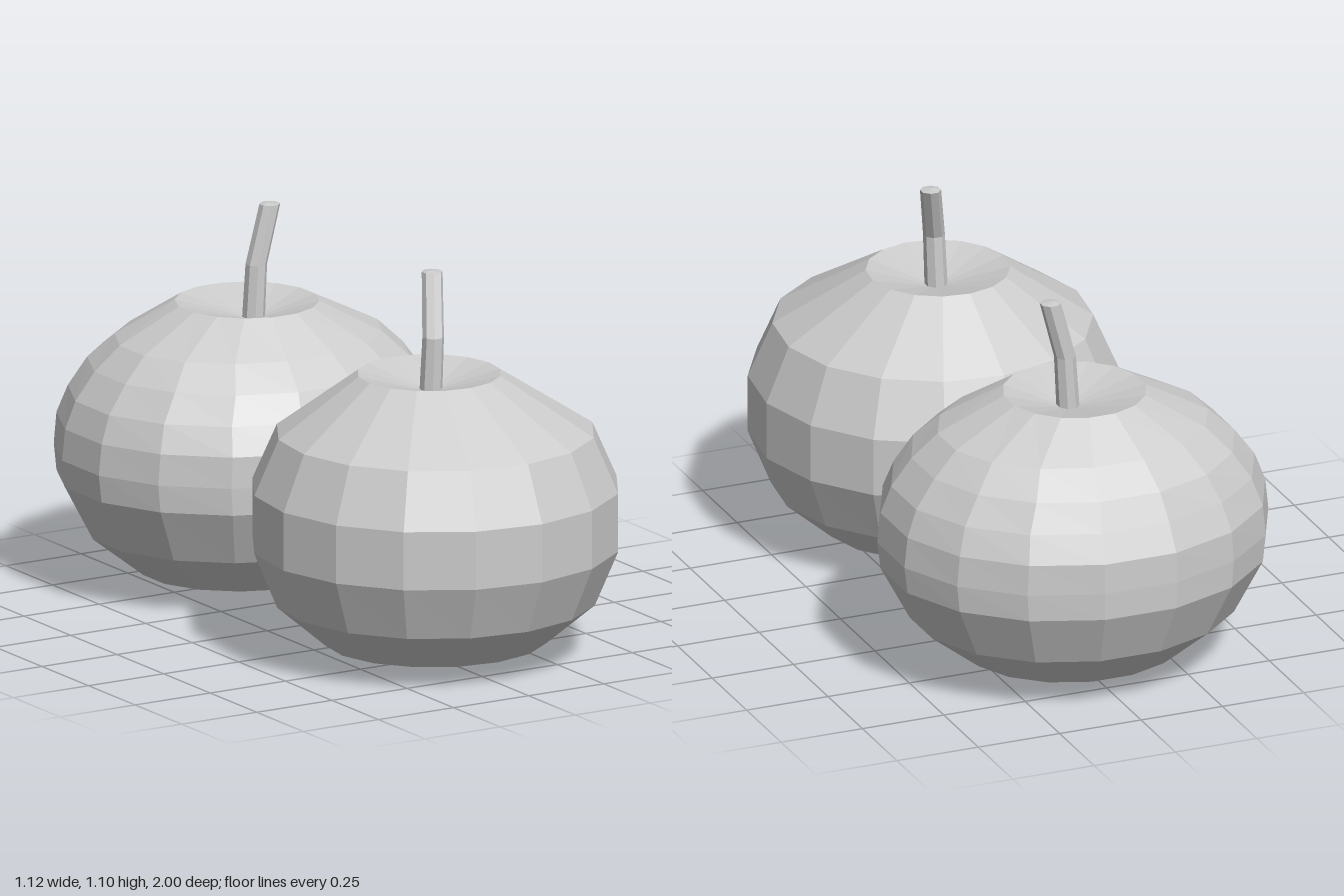
import * as THREE from 'three';

const material = new THREE.MeshStandardMaterial({ color: 0xcccccc, flatShading: true, side: THREE.DoubleSide });

// Skin over horizontal rings listed from top to bottom: [x, y, z, radiusX, radiusZ]
function loft(name, rings, sides, phase = 0) {
  const pos = [], index = [];
  for (const [x, y, z, rx, rz] of rings) {
    for (let j = 0; j < sides; j++) {
      const a = ((j + phase) / sides) * Math.PI * 2;
      pos.push(x + rx * Math.cos(a), y, z + rz * Math.sin(a));
    }
  }
  for (let i = 0; i < rings.length - 1; i++) {
    for (let j = 0; j < sides; j++) {
      const k = (j + 1) % sides;
      const a = i * sides + j, b = i * sides + k;
      const c = a + sides, d = b + sides;
      if (rings[i][3] > 0) index.push(a, b, c); // skip collapsed triangles at the tips
      if (rings[i + 1][3] > 0) index.push(b, d, c);
    }
  }
  let geometry = new THREE.BufferGeometry();
  geometry.setAttribute('position', new THREE.Float32BufferAttribute(pos, 3));
  geometry.setIndex(index);
  geometry = geometry.toNonIndexed();
  geometry.computeVertexNormals();
  const mesh = new THREE.Mesh(geometry, material);
  mesh.name = name;
  return mesh;
}

// Body with a sunken top, plus a bent stem
function pumpkin({ name, x, z, rim, bottom, profile, stem, phase }) {
  const group = new THREE.Group();
  group.name = name;
  const body = [
    [stem[0][0], 0.77, stem[0][2], 0, 0],           // dimple under the stem
    [rim[0], 0.825, rim[1], 0.205, 0.205],          // top rim
    ...profile.map(([y, rx, rz]) => [x, y, z, rx, rz]),
    [bottom[0], 0.005, bottom[1], 0, 0],
  ];
  group.add(loft('body', body, 16, phase));

  const radii = [0.033, 0.031, 0.03];
  const rings = stem.map(([sx, sy, sz], i) => [sx, sy, sz, radii[i], radii[i]]).reverse();
  const tip = rings[0];
  rings.unshift([tip[0] - 0.01, tip[1] + 0.005, tip[2], 0, 0]); // closed cut end
  group.add(loft('stem', rings, 8, 0.5));
  return group;
}

export function createModel() {
  const model = new THREE.Group();
  model.name = 'pumpkins';
  model.add(pumpkin({
    name: 'frontPumpkin', x: 0.015, z: 0.475, rim: [0.01, 0.45], bottom: [-0.1, 0.45], phase: -0.15,
    profile: [
      [0.66, 0.455, 0.455], [0.5, 0.525, 0.525], [0.33, 0.525, 0.525],
      [0.17, 0.46, 0.455], [0.05, 0.32, 0.31],
    ],
    stem: [[0.015, 0.76, 0.45], [0.02, 0.93, 0.455], [0.06, 1.1, 0.385]],
  }));
  model.add(pumpkin({
    name: 'backPumpkin', x: 0, z: -0.505, rim: [-0.005, -0.505], bottom: [-0.1, -0.6], phase: 0.5,
    profile: [
      [0.73, 0.395, 0.34], [0.66, 0.47, 0.425], [0.58, 0.53, 0.465], [0.5, 0.56, 0.503],
      [0.41, 0.57, 0.505], [0.33, 0.56, 0.503], [0.17, 0.475, 0.425], [0.05, 0.32, 0.29],
    ],
    stem: [[0.01, 0.76, -0.495], [0.02, 0.93, -0.495], [0.065, 1.1, -0.495]],
  }));
  return model;
}
